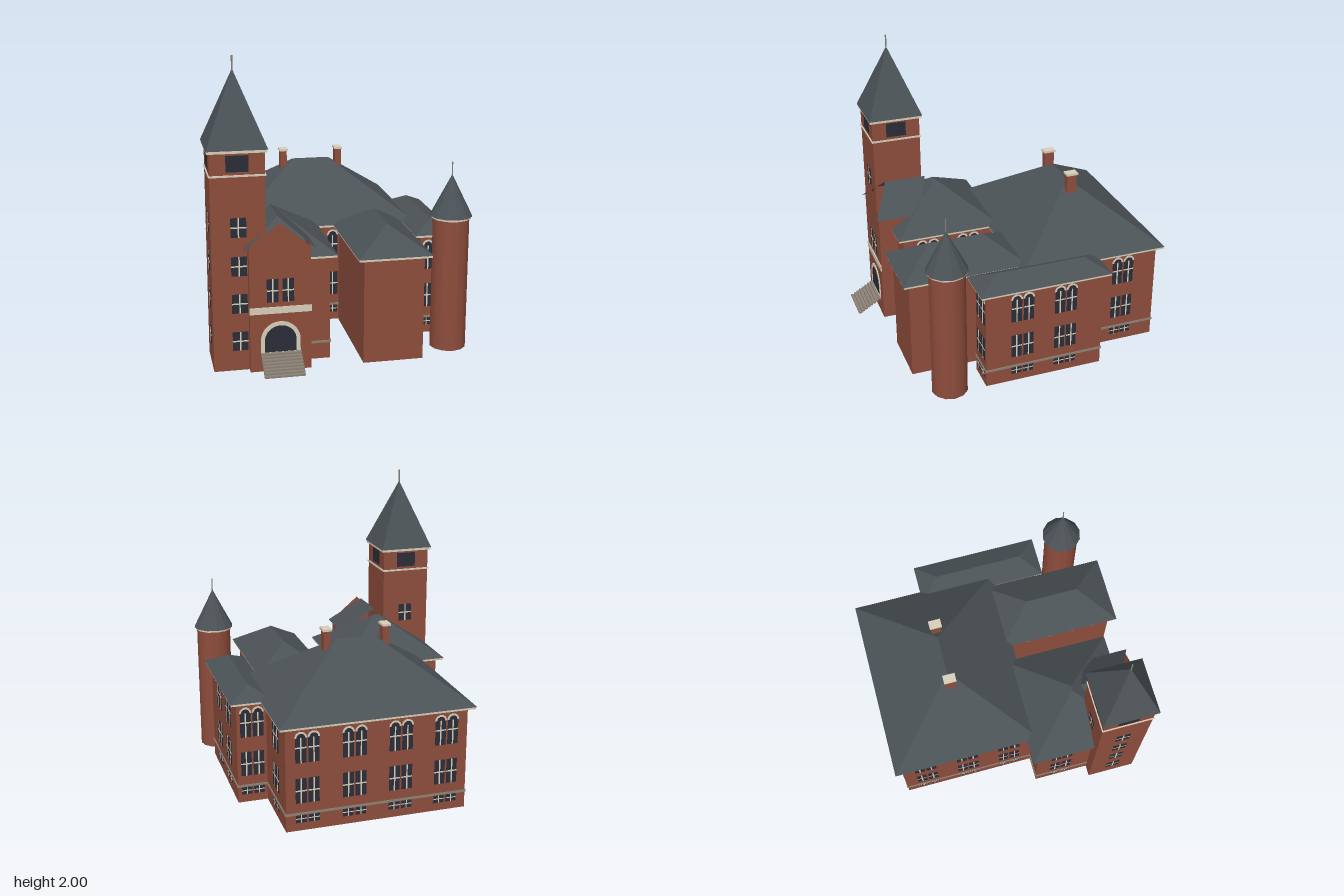
import * as THREE from 'three';
import { ConvexGeometry } from 'three/addons/geometries/ConvexGeometry.js';

const material = (name, color, extra = {}) => {
  const m = new THREE.MeshStandardMaterial({ color, ...extra });
  m.name = name;
  return m;
};

export function createModel() {
  const brick = material('brick', 0x8e4d3c, { side: THREE.DoubleSide });
  const slate = material('slate', 0x4b5256, { side: THREE.DoubleSide });
  const cream = material('cream trim', 0xd8cfba);
  const glass = material('dark glass', 0x2b2d38);
  const stone = material('grey stone', 0x8c8277);

  const model = new THREE.Group();
  model.name = 'brickHall';

  const add = (name, geometry, mat, x = 0, y = 0, z = 0, parent = model) => {
    const mesh = new THREE.Mesh(geometry, mat);
    mesh.name = name;
    mesh.position.set(x, y, z);
    parent.add(mesh);
    return mesh;
  };
  // Box given by its limits on each axis
  const box = (name, mat, x0, x1, y0, y1, z0, z1, parent) =>
    add(name, new THREE.BoxGeometry(x1 - x0, y1 - y0, z1 - z0), mat,
      (x0 + x1) / 2, (y0 + y1) / 2, (z0 + z1) / 2, parent);

  // Four brick walls without floor or ceiling
  const walls = (name, x0, x1, y1, z0, z1) => {
    const { geometry } = box(name, brick, x0, x1, 0, y1, z0, z1);
    const index = Array.from(geometry.index.array);
    geometry.setIndex([...index.slice(0, 12), ...index.slice(24)]);
    geometry.clearGroups();
  };

  // Hipped roof with its ridge along the longer side
  const hipRoof = (name, x0, x1, z0, z1, y0, y1) => {
    const cx = (x0 + x1) / 2, cz = (z0 + z1) / 2;
    const hx = (x1 - x0) / 2, hz = (z1 - z0) / 2, run = Math.min(hx, hz);
    const points = [];
    for (const sx of [-1, 1]) for (const sz of [-1, 1])
      points.push(new THREE.Vector3(cx + sx * hx, y0, cz + sz * hz));
    for (const s of [-1, 1])
      points.push(new THREE.Vector3(cx + s * (hx - run), y1, cz + s * (hz - run)));
    add(name, new ConvexGeometry(points), slate);
  };

  // Wall block with cornice, roof and optional stone band
  const EAVE = 0.718, OVER = 0.045;
  const block = (name, x0, x1, z0, z1, ridge, band = true) => {
    walls(name + 'Walls', x0, x1, 0.71, z0, z1);
    const o = OVER - 0.005;
    box(name + 'Cornice', cream, x0 - o, x1 + o, 0.703, EAVE, z0 - o, z1 + o);
    hipRoof(name + 'Roof', x0 - OVER, x1 + OVER, z0 - OVER, z1 + OVER, EAVE, ridge);
    if (!band) return;
    const y0 = 0.11, y1 = 0.125, t = 0.006;
    box(name + 'Band', stone, x0 - t, x1 + t, y0, y1, z1, z1 + t);
    box(name + 'Band', stone, x0 - t, x1 + t, y0, y1, z0 - t, z0);
    box(name + 'Band', stone, x1, x1 + t, y0, y1, z0, z1);
    box(name + 'Band', stone, x0 - t, x0, y0, y1, z0, z1);
  };
  block('mainHall', -0.612, 0.602, -0.935, 0.016, 1.09);
  block('leftWing', -0.78, -0.088, 0.016, 0.677, 0.975);
  block('rightWing', 0.108, 0.507, 0.03, 0.806, 0.876, false);
  block('sideBay', 0.6, 0.802, -0.445, 0.38, 0.796);

  // Upright shape with a round head, straight from 0 to h
  const archShape = (r, h, Type = THREE.Shape) => {
    const s = new Type();
    s.moveTo(-r, 0);
    s.lineTo(r, 0);
    s.lineTo(r, h);
    s.absarc(0, h, r, 0, Math.PI, false);
    s.closePath();
    return s;
  };
  const extrude = (shape, depth) =>
    new THREE.ExtrudeGeometry(shape, { depth, bevelEnabled: false, curveSegments: 10 });

  // Window standing on a wall; turn: 0 front, 1 right, 2 back, 3 left
  const makeWindow = (x, y, z, turn, w, h, arched = false) => {
    const g = new THREE.Group();
    g.name = arched ? 'archedWindow' : 'window';
    g.position.set(x, y, z);
    g.rotation.y = turn * Math.PI / 2;
    const r = w / 2;
    if (arched) {
      add('pane', extrude(archShape(r, h - r), 0.0015), glass, 0, 0, 0, g);
      const ring = new THREE.Shape();
      ring.absarc(0, 0, r + 0.004, 0, Math.PI, false);
      ring.absarc(0, 0, r - 0.008, Math.PI, 0, true);
      add('archTrim', extrude(ring, 0.004), cream, 0, h - r, 0, g);
    } else box('pane', glass, -r, r, 0, h, 0, 0.0015, g);
    const bar = h < 0.08 ? 0.003 : 0.0045;
    box('mullion', cream, -bar, bar, 0, arched ? h - r : h, 0, 0.0035, g);
    box('transom', cream, -r, r, h / 2 - bar, h / 2 + bar, 0, 0.003, g);
    model.add(g);
  };

  // Three storeys of windows in one column
  const column = (x, z, turn) => {
    makeWindow(x, 0.055, z, turn, 0.072, 0.055);
    makeWindow(x, 0.19, z, turn, 0.072, 0.17);
    makeWindow(x, 0.465, z, turn, 0.072, 0.205, true);
  };
  const pair = (x, z, turn) => {
    for (const d of [-0.042, 0.042])
      turn % 2 ? column(x, z + d, turn) : column(x + d, z, turn);
  };
  for (const x of [-0.47, -0.16, 0.15, 0.46]) pair(x, -0.935, 2);
  for (const z of [-0.77, -0.46, -0.15]) pair(-0.612, z, 3);
  pair(0.602, -0.69, 1);
  for (const z of [0.125, -0.18]) pair(0.802, z, 1);
  pair(0.7, -0.445, 2);
  pair(0.7, 0.38, 0);
  column(0.065, 0.016, 0);
  for (const z of [0.2, 0.5]) pair(-0.088, z, 1);
  pair(-0.78, 0.2, 3);

  // Chimneys
  for (const x of [-0.209, 0.197]) {
    box('chimney', brick, x - 0.023, x + 0.023, 0.95, 1.156, -0.492, -0.422);
    box('chimneyCap', cream, x - 0.03, x + 0.03, 1.156, 1.171, -0.5, -0.415);
  }

  // Square tower
  const tx = -0.686, tz = 0.587, th = 0.172;
  const square = (name, mat, half, y0, y1) =>
    box(name, mat, tx - half, tx + half, y0, y1, tz - half, tz + half);
  walls('towerWalls', tx - th, tx + th, 1.43, tz - th, tz + th);
  square('towerBand', cream, th + 0.007, 1.276, 1.288);
  square('towerCornice', cream, 0.187, 1.425, 1.443);
  hipRoof('towerRoof', tx - 0.192, tx + 0.192, tz - 0.192, tz + 0.192, 1.443, 1.918);
  add('towerSpike', new THREE.CylinderGeometry(0.005, 0.005, 0.1, 8), stone, tx, 1.95, tz);
  for (let turn = 0; turn < 4; turn++) {
    const a = turn * Math.PI / 2;
    const wx = tx + Math.sin(a) * th, wz = tz + Math.cos(a) * th;
    const opening = box('belfryOpening', glass, -0.071, 0.071, -0.052, 0.052, 0, 0.002);
    opening.position.set(wx, 1.358, wz);
    opening.rotation.y = a;
    if (turn === 0 || turn === 3)
      for (const y of [0.135, 0.387, 0.635, 0.888]) makeWindow(wx, y, wz, turn, 0.1, 0.127);
    if (turn === 2) makeWindow(wx, 0.888, wz, turn, 0.1, 0.127);
  }

  // Round turret
  const turret = (name, r0, r1, y0, y1, mat, sides = 12, open = false) =>
    add(name, new THREE.CylinderGeometry(r1, r0, y1 - y0, sides, 1, open), mat,
      0.737, (y0 + y1) / 2, 0.615);
  turret('turretWall', 0.122, 0.122, 0, 0.905, brick, 12, true);
  turret('turretCornice', 0.132, 0.132, 0.9, 0.914, cream);
  const cone = turret('turretRoof', 0.14, 0, 0.914, 1.19, slate);
  cone.geometry = cone.geometry.toNonIndexed();
  cone.geometry.computeVertexNormals();
  turret('turretSpike', 0.004, 0.004, 1.17, 1.272, stone, 8);

  // Gabled entrance: upright front sheet and two side walls
  const ex = -0.434, front = 0.81, half = 0.197;
  const gable = new THREE.Shape();
  gable.moveTo(-half, 0);
  gable.lineTo(half, 0);
  gable.lineTo(half, 0.82);
  gable.lineTo(0, 0.985);
  gable.lineTo(-half, 0.82);
  gable.closePath();
  add('entranceFront', new THREE.ShapeGeometry(gable), brick, ex, 0, front);
  for (const s of [-1, 1]) {
    const side = add('entranceSide', new THREE.PlaneGeometry(0.31, 0.82), brick,
      ex + s * half, 0.41, front - 0.155);
    side.rotation.y = s * Math.PI / 2;
  }

  // Entrance roof slopes, set back at the ridge
  for (const s of [-1, 1]) {
    const e = s * 0.223;
    const slope = new THREE.BufferGeometry();
    slope.setAttribute('position', new THREE.Float32BufferAttribute(
      [e, 0.813, 0.83, 0, 1, 0.705, 0, 1, 0.41, e, 0.813, 0.52], 3));
    slope.setIndex(s > 0 ? [0, 2, 1, 0, 3, 2] : [0, 1, 2, 0, 2, 3]);
    slope.computeVertexNormals();
    add('entranceRoof', slope, slate, ex, 0, 0);
  }
  box('entranceBand', cream, ex - 0.199, ex + 0.199, 0.39, 0.434, front, front + 0.006);
  for (const d of [-0.05, 0.05]) makeWindow(ex + d, 0.465, front, 0, 0.074, 0.155);

  // Arched doorway
  const surround = archShape(0.128, 0.077);
  surround.holes.push(archShape(0.102, 0.077, THREE.Path));
  add('doorArch', extrude(surround, 0.006), cream, ex - 0.002, 0.13, front);
  add('doorway', extrude(archShape(0.104, 0.077), 0.003), glass, ex - 0.002, 0.13, front);

  // Open flight of steps
  const steps = 8, tread = 0.17 / steps, rise = 0.1 / steps;
  for (let i = 0; i < steps; i++) {
    const y = 0.127 - i * rise, z = front + i * tread;
    box('step', stone, ex - 0.13, ex + 0.13, y - rise, y, z, z + tread + 0.003);
  }
  return model;
}
